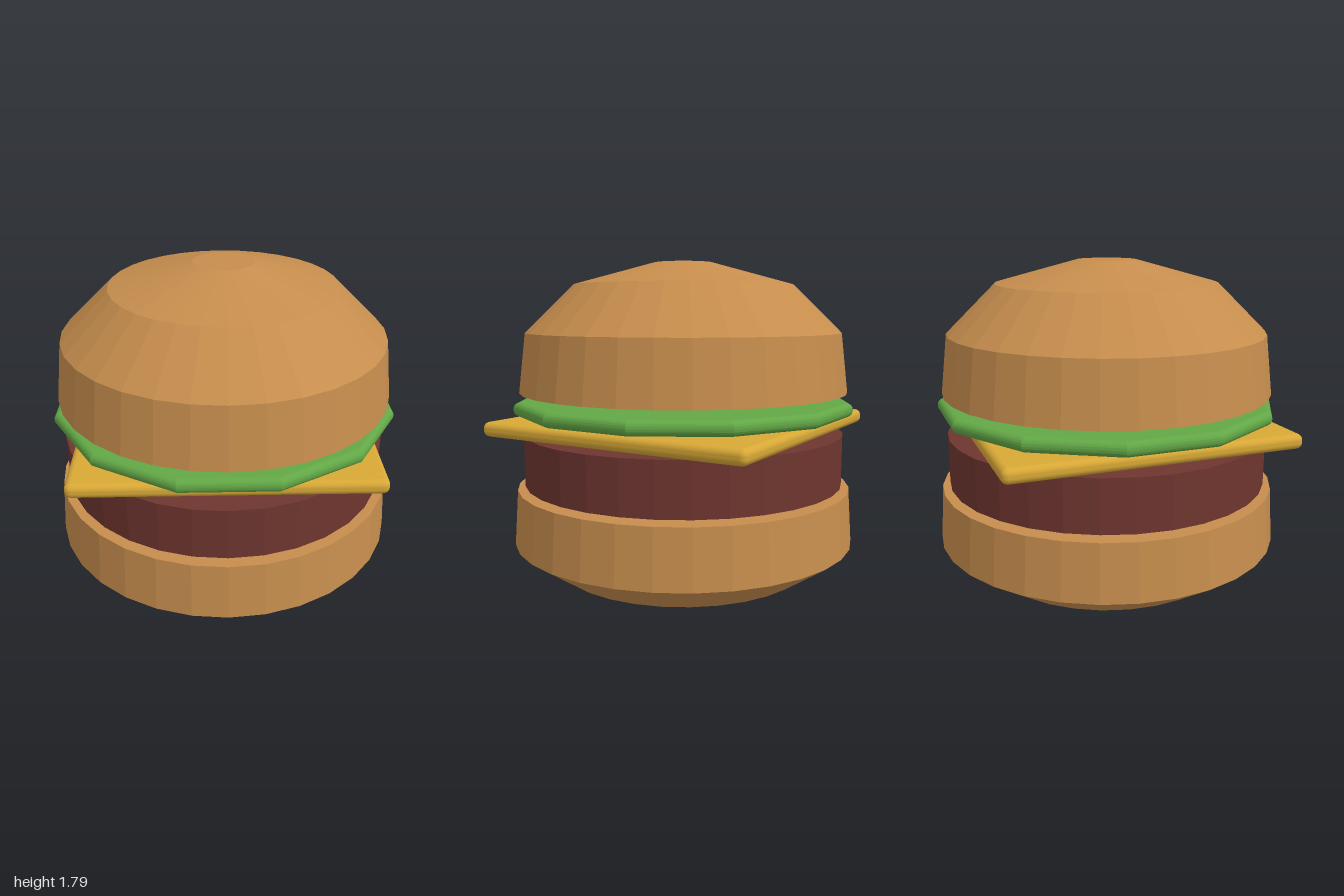
import * as THREE from 'three';
import { RoundedBoxGeometry } from 'three/addons/geometries/RoundedBoxGeometry.js';

const SIDES = 32;

function material(name, color, flatShading = false) {
  const m = new THREE.MeshStandardMaterial({ color, flatShading });
  m.name = name;
  return m;
}

function part(group, name, geometry, mat, y = 0) {
  const mesh = new THREE.Mesh(geometry, mat);
  mesh.name = name;
  mesh.position.y = y;
  group.add(mesh);
}

// Faceted solid of revolution from [radius, height] pairs, bottom to top
function turned(profile) {
  return new THREE.LatheGeometry(profile.map(([r, y]) => new THREE.Vector2(r, y)), SIDES);
}

// Twelve-sided leaf with a rounded rim, flat sides facing the axes
function leaf(apothem, height) {
  const rim = height * 0.46;
  const radius = (apothem - rim) / Math.cos(Math.PI / 12);
  const outline = [];
  for (let i = 0; i < 12; i++) {
    const a = ((i + 0.5) / 12) * Math.PI * 2;
    outline.push(new THREE.Vector2(radius * Math.cos(a), radius * Math.sin(a)));
  }
  const geometry = new THREE.ExtrudeGeometry(new THREE.Shape(outline), {
    depth: height - 2 * rim,
    bevelThickness: rim,
    bevelSize: rim,
    bevelSegments: 5,
  });
  geometry.rotateX(-Math.PI / 2);
  geometry.center();
  return geometry;
}

export function createModel() {
  const group = new THREE.Group();
  group.name = 'burger';

  const bread = material('bread', 0xc68d4d, true);
  const meat = material('meat', 0x6e352f, true);
  const cheese = material('cheese', 0xd8a836);
  const lettuce = material('lettuce', 0x62a746);

  // Buns and patty
  part(group, 'bottomBun', turned([[0, 0], [0.75, 0], [1, 0.172], [0.978, 0.492], [0, 0.492]]), bread);
  part(group, 'patty', turned([[0, 0.515], [0.935, 0.515], [0.935, 0.81], [0, 0.81]]), meat);
  part(group, 'topBun', turned([
    [0, 1.05], [0.955, 1.05], [0.915, 1.388], [0.637, 1.662], [0.17, 1.79], [0, 1.79],
  ]), bread);

  // Fillings
  part(group, 'cheeseSlice', new RoundedBoxGeometry(1.654, 0.084, 1.654, 3, 0.036), cheese, 0.853);
  part(group, 'lettuceLeaf', leaf(0.955, 0.08), lettuce, 0.96);

  return group;
}
